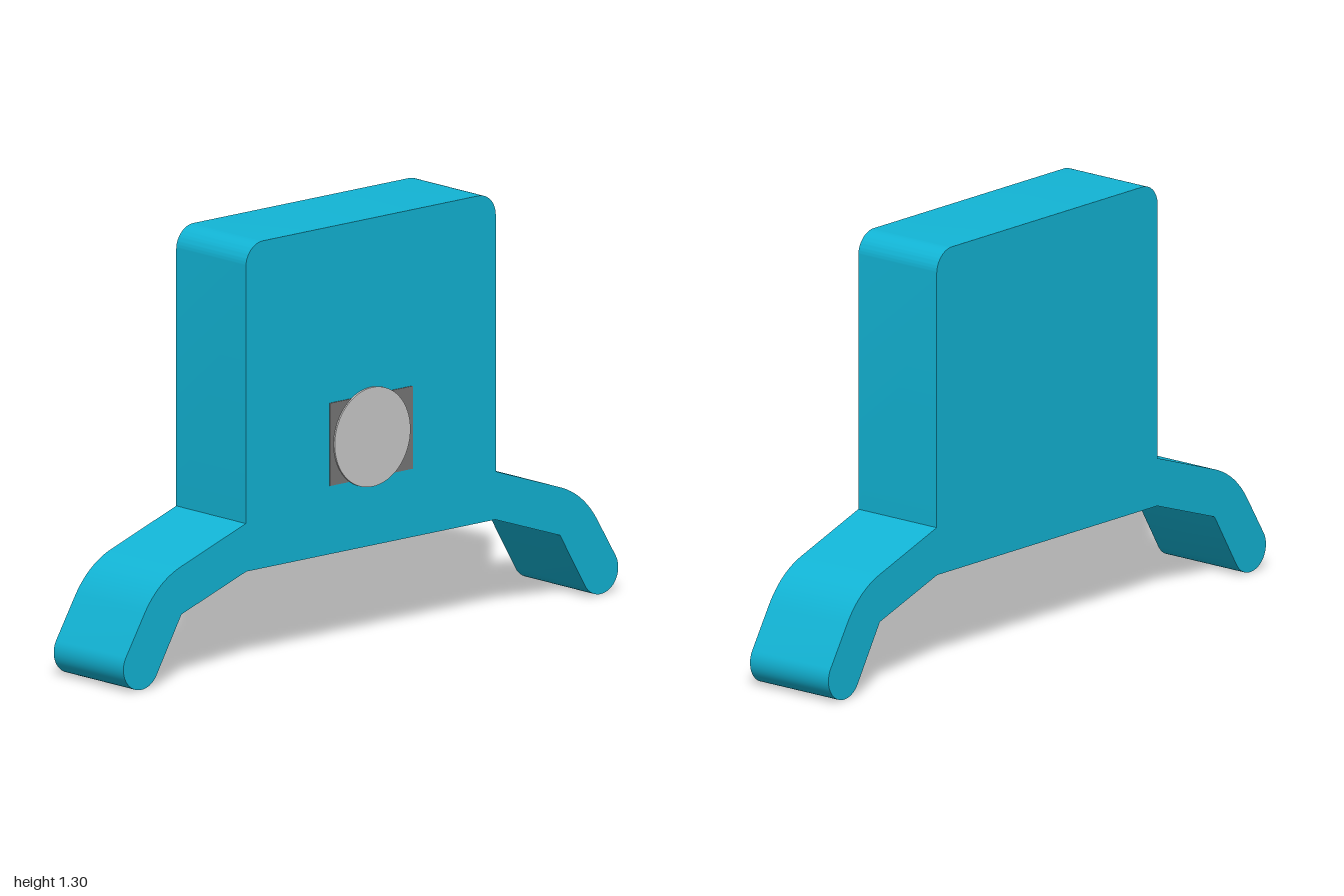
import * as THREE from 'three';
import { toCreasedNormals } from 'three/addons/utils/BufferGeometryUtils.js';

const BACK = -0.16, FACE = 0.151;

// Half outline of the stand, from the bottom centre round to the top centre
function halfOutline() {
  const tilt = 0.547; // direction square to the lower leg
  const s = new THREE.Path();
  s.moveTo(0, 0.297);
  s.lineTo(0.503, 0.297);
  s.lineTo(0.765, 0.207);
  s.absarc(0.928, 0.072, 0.072, tilt - Math.PI, tilt, false); // rounded foot
  s.lineTo(0.915, 0.232);
  s.quadraticCurveTo(0.86, 0.322, 0.765, 0.355); // soft outer knee
  s.lineTo(0.505, 0.445);
  s.lineTo(0.505, 1.235);
  s.absarc(0.435, 1.235, 0.07, 0, Math.PI / 2, false); // top corner
  s.lineTo(0, 1.305);
  return s.getPoints(12);
}

export function createModel() {
  const group = new THREE.Group();
  const add = (name, geometry, color) => {
    const mesh = new THREE.Mesh(geometry, new THREE.MeshStandardMaterial({ color }));
    mesh.name = name;
    group.add(mesh);
    return mesh;
  };

  // Body with two splayed legs: mirrored outline, extruded across the width
  const half = halfOutline();
  const mirrored = half.slice(1, -1).reverse().map((p) => new THREE.Vector2(-p.x, p.y));
  let body = new THREE.ExtrudeGeometry(new THREE.Shape([...half, ...mirrored]), {
    depth: FACE - BACK, bevelEnabled: false,
  });
  body.rotateY(Math.PI / 2).translate(BACK, 0, 0);
  body = toCreasedNormals(body, 0.5);
  add('bodyWithLegs', body, 0x12b5d6);

  // Thin plate behind the round badge
  const plate = new THREE.BoxGeometry(0.004, 0.255, 0.336);
  add('badgePlate', plate, 0x777777).position.set(FACE + 0.001, 0.635, 0);

  // Plain round badge
  const disc = new THREE.CylinderGeometry(0.153, 0.153, 0.007, 64).rotateZ(-Math.PI / 2);
  add('badgeDisc', disc, 0xcccccc).position.set(FACE + 0.0045, 0.633, 0);

  return group;
}
